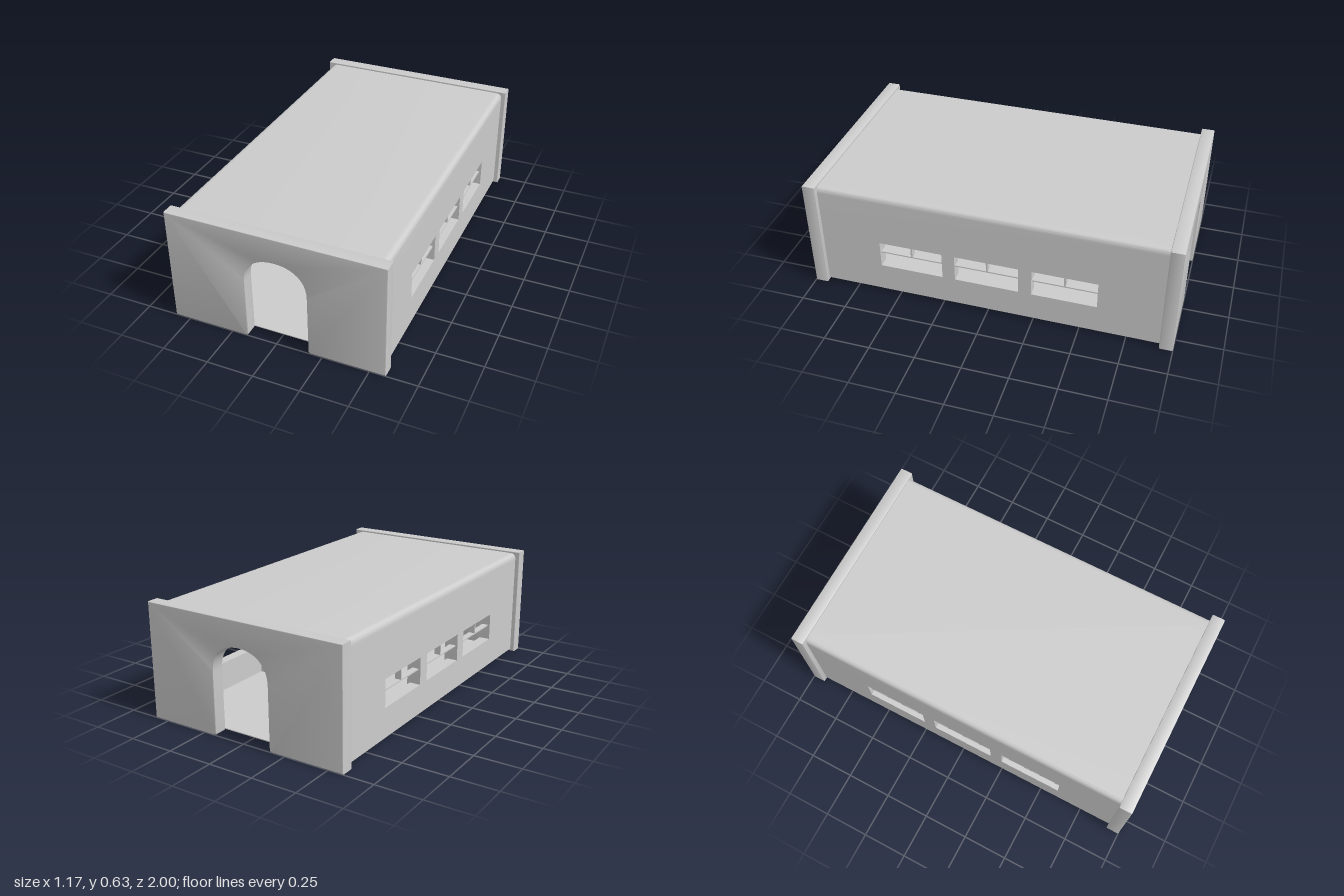
import * as THREE from 'three';
import { toCreasedNormals } from 'three/addons/utils/BufferGeometryUtils.js';

const HALF_LEN = 0.93;   // hall between the end walls
const OUT_X = 0.56, IN_X = 0.5;
const FLOOR_Y = 0.015, SPRING_Y = 0.36;

export function createModel() {
  const model = new THREE.Group();
  const material = new THREE.MeshStandardMaterial({ color: 0xcccccc, side: THREE.DoubleSide });

  const add = (name, geometry, x = 0, y = 0, z = 0, parent = model) => {
    const mesh = new THREE.Mesh(geometry, material);
    mesh.name = name;
    mesh.position.set(x, y, z);
    parent.add(mesh);
    return mesh;
  };
  const extrude = (shape, depth, bevel = 0) => toCreasedNormals(
    new THREE.ExtrudeGeometry(shape, {
      depth: depth - 2 * bevel, curveSegments: 20,
      bevelEnabled: bevel > 0, bevelSize: bevel, bevelThickness: bevel,
      bevelOffset: -bevel, bevelSegments: 2,
    }).translate(0, 0, bevel), 0.5);

  // End walls with an arched doorway
  const L = -0.16, R = 0.175, C = (L + R) / 2, r = 0.015;
  const end = new THREE.Shape();
  end.moveTo(-0.585, 0);
  end.lineTo(L - r, 0);
  end.quadraticCurveTo(L, 0, L, r);
  end.lineTo(L, 0.34);
  end.bezierCurveTo(L, 0.44, C - 0.1, 0.495, C, 0.495);
  end.bezierCurveTo(C + 0.1, 0.495, R, 0.44, R, 0.34);
  end.lineTo(R, r);
  end.quadraticCurveTo(R, 0, R + r, 0);
  end.lineTo(0.585, 0);
  end.lineTo(0.585, 0.633);
  end.lineTo(-0.585, 0.633);
  end.closePath();
  const endGeometry = extrude(end, 0.072, 0.005);
  add('frontWall', endGeometry, 0, 0, 0.928);
  add('backWall', endGeometry, 0, 0, -1);

  // Side walls, each with three windows
  const windows = [0.425, 0.005, -0.415];
  const winHalf = 0.175, winLow = 0.175, winHigh = 0.327;
  const wall = new THREE.Shape();
  wall.moveTo(-HALF_LEN, FLOOR_Y);
  wall.lineTo(HALF_LEN, FLOOR_Y);
  wall.lineTo(HALF_LEN, SPRING_Y);
  wall.lineTo(-HALF_LEN, SPRING_Y);
  wall.closePath();
  for (const z of windows) {
    const hole = new THREE.Path();
    hole.moveTo(z - winHalf, winLow);
    hole.lineTo(z - winHalf, winHigh);
    hole.lineTo(z + winHalf, winHigh);
    hole.lineTo(z + winHalf, winLow);
    hole.closePath();
    wall.holes.push(hole);
  }
  const wallGeometry = extrude(wall, OUT_X - IN_X).rotateY(-Math.PI / 2);
  for (const [side, s] of [['left', 1], ['right', -1]]) {
    add(side + 'Wall', wallGeometry, s > 0 ? OUT_X : -IN_X);
    // Window bars: one transom and one upper mullion
    const bars = new THREE.Group();
    bars.name = side + 'WindowBars';
    model.add(bars);
    for (const z of windows) {
      add('transom', new THREE.BoxGeometry(0.035, 0.007, 2 * winHalf), s * 0.53, 0.258, z, bars);
      add('mullion', new THREE.BoxGeometry(0.035, winHigh - 0.258, 0.009), s * 0.53, (winHigh + 0.258) / 2, z, bars);
    }
  }

  // Roof: rounded outside edges, vaulted ceiling inside
  const top = 0.623, edge = 0.035, crown = 0.575;
  const roof = new THREE.Shape();
  roof.moveTo(IN_X, SPRING_Y);
  roof.lineTo(OUT_X, SPRING_Y);
  roof.lineTo(OUT_X, top - edge);
  roof.quadraticCurveTo(OUT_X, top, OUT_X - edge, top);
  roof.lineTo(-OUT_X + edge, top);
  roof.quadraticCurveTo(-OUT_X, top, -OUT_X, top - edge);
  roof.lineTo(-OUT_X, SPRING_Y);
  roof.lineTo(-IN_X, SPRING_Y);
  roof.absellipse(0, SPRING_Y, IN_X, crown - SPRING_Y, Math.PI, 0, true);
  add('roof', extrude(roof, 2 * HALF_LEN), 0, 0, -HALF_LEN);

  // Arched ribs between the windows
  const t = 0.025;
  const rib = new THREE.Shape();
  rib.moveTo(IN_X, FLOOR_Y);
  rib.lineTo(IN_X, SPRING_Y);
  rib.absellipse(0, SPRING_Y, IN_X, crown - SPRING_Y, 0, Math.PI, false);
  rib.lineTo(-IN_X, FLOOR_Y);
  rib.lineTo(-IN_X + t, FLOOR_Y);
  rib.lineTo(-IN_X + t, SPRING_Y);
  rib.absellipse(0, SPRING_Y, IN_X - t, crown - SPRING_Y - t, Math.PI, 0, true);
  rib.lineTo(IN_X - t, FLOOR_Y);
  rib.closePath();
  const ribGeometry = extrude(rib, 0.04);
  for (const z of [-0.64, -0.205, 0.215, 0.64]) add('rib', ribGeometry, 0, 0, z - 0.02);

  // Floor slab
  add('floor', new THREE.BoxGeometry(2 * OUT_X, 0.005, 2 * HALF_LEN + 0.01), 0, FLOOR_Y, 0);

  return model;
}
